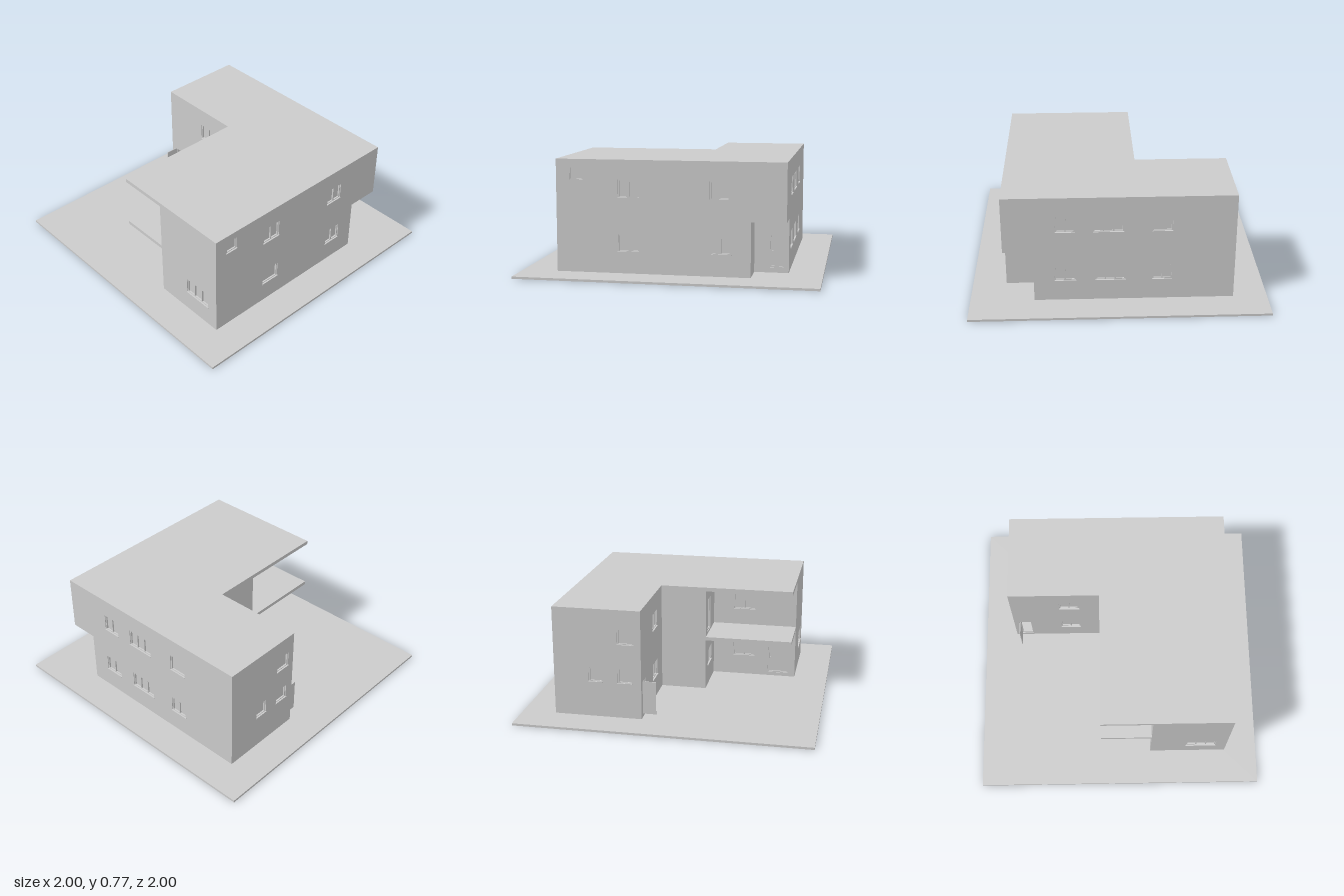
import * as THREE from 'three';

const material = new THREE.MeshStandardMaterial({ color: 0xcccccc, side: THREE.DoubleSide });
const WALL = 0.03;                 // wall thickness
const GROUND = [0.015, 0.39];      // height range of each storey's walls
const UPPER = [0.39, 0.755];

// Turn about y, and sign of the world axis along the wall, for each facing
const FACING = {
  front: { turn: 0, sign: 1 },
  right: { turn: Math.PI / 2, sign: -1 },
  back: { turn: Math.PI, sign: -1 },
  left: { turn: -Math.PI / 2, sign: 1 },
};

function box(parent, name, w, h, d, x, y, z) {
  const mesh = new THREE.Mesh(new THREE.BoxGeometry(w, h, d), material);
  mesh.name = name;
  mesh.position.set(x, y, z);
  parent.add(mesh);
  return mesh;
}

function rectanglePath(path, a, b, y0, y1) {
  path.moveTo(a, y0);
  path.lineTo(b, y0);
  path.lineTo(b, y1);
  path.lineTo(a, y1);
  path.closePath();
  return path;
}

// Frame bars, mullions, pane and sill of a window, or frame and leaf of a door
function fillOpening(parent, { a, b, y0, y1, panes = 1, door, open }) {
  const group = new THREE.Group();
  group.name = door ? 'door' : 'window';
  const w = b - a, h = y1 - y0, x = (a + b) / 2, y = (y0 + y1) / 2;
  const bar = 0.008, depth = 0.018, z = -0.015;
  for (const side of [-1, 1]) {
    box(group, 'frameSide', bar, h, depth, x + side * (w - bar) / 2, y, z);
    box(group, 'frameRail', w, bar, depth, x, y + side * (h - bar) / 2, z);
  }
  for (let i = 1; i < panes; i++)
    box(group, 'mullion', bar, h, depth, a + w * i / panes, y, z);
  if (open) {
    // leaf swung out at right angles to the wall
    box(group, 'openDoorLeaf', 0.005, h, 0.09, a + 0.003, y, 0.045);
  } else {
    box(group, door ? 'doorLeaf' : 'pane', w, h, 0.006, x, y, -0.02);
    if (door) box(group, 'doorHandle', 0.008, 0.008, 0.01, a + 0.016, y, -0.013);
  }
  if (!door) box(group, 'sill', w + 0.006, 0.006, 0.034, x, y0, -0.012);
  parent.add(group);
}

// Wall on a plane, running from one world coordinate to another, with openings
function wall(parent, name, facing, plane, from, to, [y0, y1], openings = []) {
  const { turn, sign } = FACING[facing];
  const local = (p, q) => (sign > 0 ? [p, q] : [-q, -p]);
  const group = new THREE.Group();
  group.name = name;
  group.rotation.y = turn;
  if (facing === 'front' || facing === 'back') group.position.z = plane;
  else group.position.x = plane;

  const shape = rectanglePath(new THREE.Shape(), ...local(from, to), y0, y1);
  for (const o of openings) {
    const [a, b] = local(o.at[0], o.at[1]);
    const opening = { ...o, a, b, y0: o.at[2], y1: o.at[3] };
    shape.holes.push(rectanglePath(new THREE.Path(), a, b, opening.y0, opening.y1));
    fillOpening(group, opening);
  }
  const geometry = new THREE.ExtrudeGeometry(shape, { depth: WALL, bevelEnabled: false });
  geometry.translate(0, 0, -WALL);
  const mesh = new THREE.Mesh(geometry, material);
  mesh.name = name + 'Panel';
  group.add(mesh);
  parent.add(group);
}

// L-shaped slab covering the whole plan
function planSlab(parent, name, y0, y1) {
  const plan = [[-0.76, 0.77], [0.77, 0.77], [0.77, -0.77], [0.17, -0.77], [0.17, -0.13], [-0.76, -0.13]];
  const shape = new THREE.Shape(plan.map(([x, z]) => new THREE.Vector2(x, -z)));
  const geometry = new THREE.ExtrudeGeometry(shape, { depth: y1 - y0, bevelEnabled: false });
  geometry.rotateX(-Math.PI / 2);
  const mesh = new THREE.Mesh(geometry, material);
  mesh.name = name;
  mesh.position.y = y0;
  parent.add(mesh);
}

// Opening shorthands: standard window heights on each floor
const low = (a, b, panes) => ({ at: [a, b, 0.16, 0.275], panes });
const high = (a, b, panes) => ({ at: [a, b, 0.52, 0.64], panes });
const small = (a, b, y0, y1) => ({ at: [a, b, y0, y1] });
const door = (a, b, y0, y1, open) => ({ at: [a, b, y0, y1], door: true, open });

export function createModel() {
  const house = new THREE.Group();
  house.name = 'house';

  // Ground plate, intermediate floor with balcony, flat roof
  box(house, 'groundPlate', 2, 0.015, 2, 0, 0.0075, 0);
  planSlab(house, 'upperFloor', 0.38, 0.405);
  planSlab(house, 'roof', 0.743, 0.77);

  // Ground storey
  wall(house, 'lowerFrontWall', 'front', 0.77, -0.76, 0.54, GROUND,
    [low(-0.34, -0.2, 1), low(0.28, 0.41, 2)]);
  wall(house, 'entranceSideWall', 'right', 0.54, 0.57, 0.77, GROUND);
  wall(house, 'entranceWall', 'front', 0.57, 0.54, 0.77, GROUND,
    [door(0.645, 0.735, 0.05, 0.27)]);
  wall(house, 'lowerRightWall', 'right', 0.77, -0.77, 0.57, GROUND,
    [low(0.29, 0.43, 2), low(-0.04, 0.16, 3), low(-0.35, -0.22, 2)]);
  wall(house, 'lowerBackWall', 'back', -0.77, 0.17, 0.77, GROUND,
    [small(0.23, 0.33, 0.26, 0.365), small(0.435, 0.53, 0.26, 0.365)]);
  wall(house, 'lowerWingWall', 'left', 0.17, -0.77, -0.13, GROUND,
    [door(-0.73, -0.64, 0.04, 0.27, true), low(-0.42, -0.28, 2)]);
  wall(house, 'lowerTerraceSideWall', 'left', -0.15, -0.13, 0.225, GROUND,
    [low(-0.04, 0.11, 2)]);
  wall(house, 'lowerTerraceWall', 'back', 0.225, -0.76, -0.15, GROUND,
    [low(-0.46, -0.3, 2), door(-0.71, -0.56, 0.04, 0.27)]);
  wall(house, 'lowerLeftWall', 'left', -0.76, 0.225, 0.77, GROUND,
    [low(0.48, 0.69, 3)]);

  // Upper storey
  wall(house, 'upperFrontWall', 'front', 0.77, -0.76, 0.77, UPPER,
    [small(-0.67, -0.58, 0.63, 0.72), high(-0.34, -0.2, 2), high(0.27, 0.4, 2)]);
  wall(house, 'upperRightWall', 'right', 0.77, -0.77, 0.77, UPPER,
    [high(0.29, 0.42, 2), high(-0.03, 0.17, 3), high(-0.35, -0.22, 1)]);
  wall(house, 'upperBackWall', 'back', -0.77, 0.17, 0.77, UPPER,
    [small(0.22, 0.33, 0.53, 0.64)]);
  wall(house, 'upperWingWall', 'left', 0.17, -0.77, -0.13, UPPER,
    [high(-0.42, -0.28, 2)]);
  wall(house, 'upperTerraceSideWall', 'left', -0.15, -0.13, 0.225, UPPER,
    [door(-0.05, 0.065, 0.42, 0.66)]);
  wall(house, 'upperTerraceWall', 'back', 0.225, -0.76, -0.15, UPPER,
    [high(-0.46, -0.3, 2)]);
  wall(house, 'upperLeftWall', 'left', -0.76, 0.225, 0.77, UPPER);

  // Short back walls linking wing and terrace on both floors
  for (const [name, range] of [['lowerLinkWall', GROUND], ['upperLinkWall', UPPER]])
    wall(house, name, 'back', -0.13, -0.15, 0.17, range);

  return house;
}
